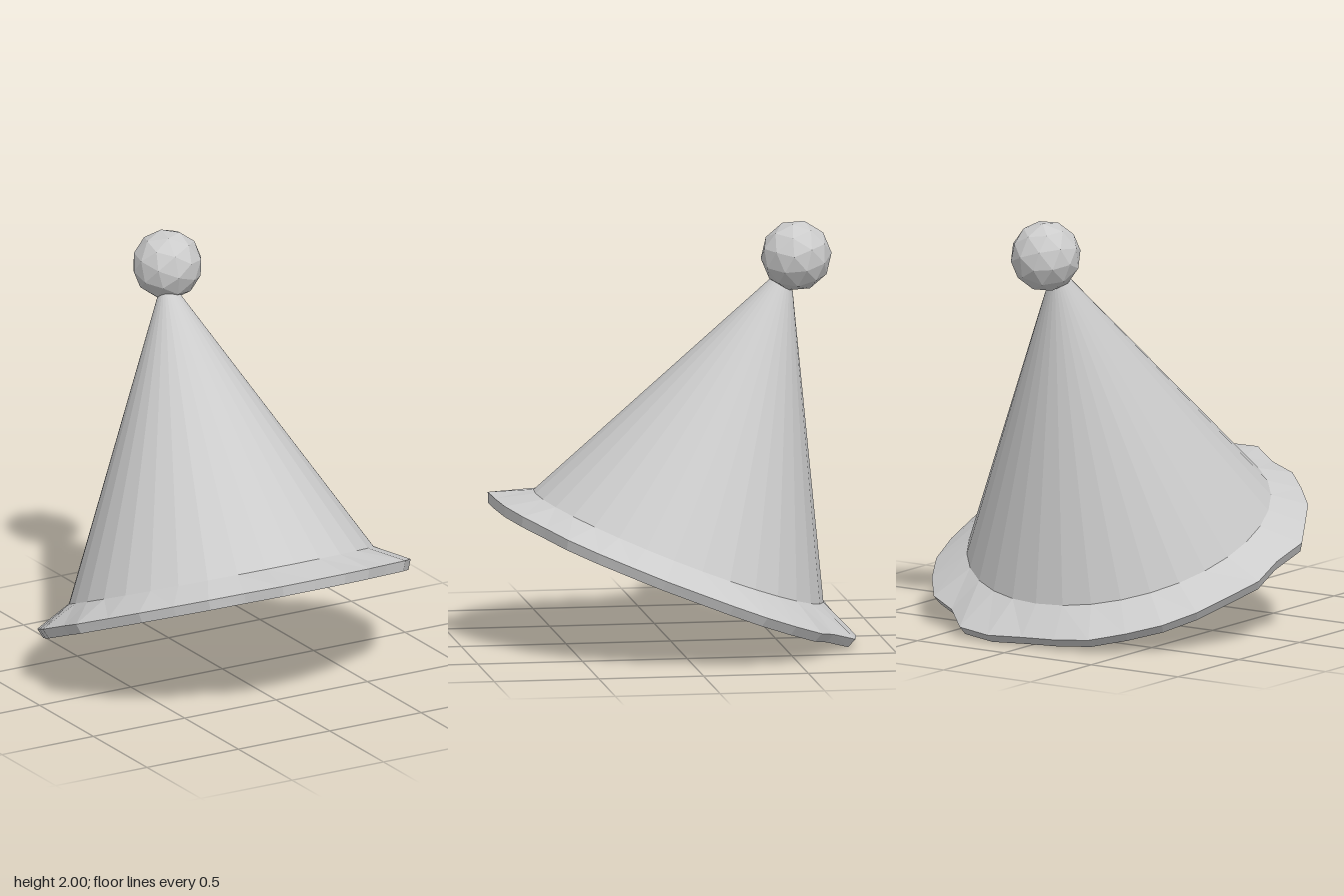
import * as THREE from 'three';

const SIDES = 32;
const BASE_RADIUS = 0.734;
const HEIGHT = 1.45;

// Uneven outer radius of the brim, one value per side, from +x towards +z
const BRIM_RADII = [
  0.875, 0.885, 0.88, 0.896, 0.904, 0.876, 0.891, 0.904,
  0.907, 0.931, 0.874, 0.89, 0.881, 0.894, 0.895, 0.931,
  0.885, 0.916, 0.895, 0.904, 0.911, 0.907, 0.916, 0.898,
  0.896, 0.935, 0.955, 0.9, 0.933, 0.922, 0.916, 0.892,
];

// Joins closed rings of points, listed from the inside out, into a flat-shaded skin
function skinRings(rings) {
  const n = rings[0].length;
  const index = [];
  for (let k = 0; k < rings.length - 1; k++) {
    for (let i = 0; i < n; i++) {
      const j = (i + 1) % n;
      const a = k * n + i, b = k * n + j;
      index.push(a, b, a + n, b, b + n, a + n);
    }
  }
  const geometry = new THREE.BufferGeometry().setFromPoints(rings.flat());
  geometry.setIndex(index);
  const flat = geometry.toNonIndexed();
  flat.computeVertexNormals();
  return flat;
}

function ring(radiusAt, y) {
  return BRIM_RADII.map((r, i) => {
    const a = (i / SIDES) * Math.PI * 2;
    const radius = radiusAt(r);
    return new THREE.Vector3(radius * Math.cos(a), y, radius * Math.sin(a));
  });
}

export function createModel() {
  const model = new THREE.Group();
  const cloth = new THREE.MeshStandardMaterial({
    color: 0xcccccc, flatShading: true, side: THREE.DoubleSide,
  });

  // Hat leaning backwards
  const hat = new THREE.Group();
  hat.name = 'hat';
  hat.position.set(0.015, 0.455, -0.035);
  hat.rotation.x = -0.375;
  model.add(hat);

  // Hollow cone
  const cone = new THREE.Mesh(
    new THREE.ConeGeometry(BASE_RADIUS, HEIGHT, SIDES, 1, true), cloth);
  cone.name = 'cone';
  cone.position.y = HEIGHT / 2;
  hat.add(cone);

  // Flared wavy brim with a short lip turned down
  const brim = new THREE.Mesh(skinRings([
    ring(() => BASE_RADIUS, 0),
    ring((r) => r, -0.09),
    ring((r) => r - 0.02, -0.138),
  ]), cloth);
  brim.name = 'brim';
  hat.add(brim);

  // Faceted pompom on the tip
  const pompom = new THREE.Mesh(
    new THREE.IcosahedronGeometry(0.168, 1),
    new THREE.MeshStandardMaterial({ color: 0xcccccc, flatShading: true }));
  pompom.name = 'pompom';
  pompom.position.set(0.047, 1.835, -0.592);
  pompom.rotation.set(0.3, 0.4, 0.2);
  model.add(pompom);

  return model;
}
